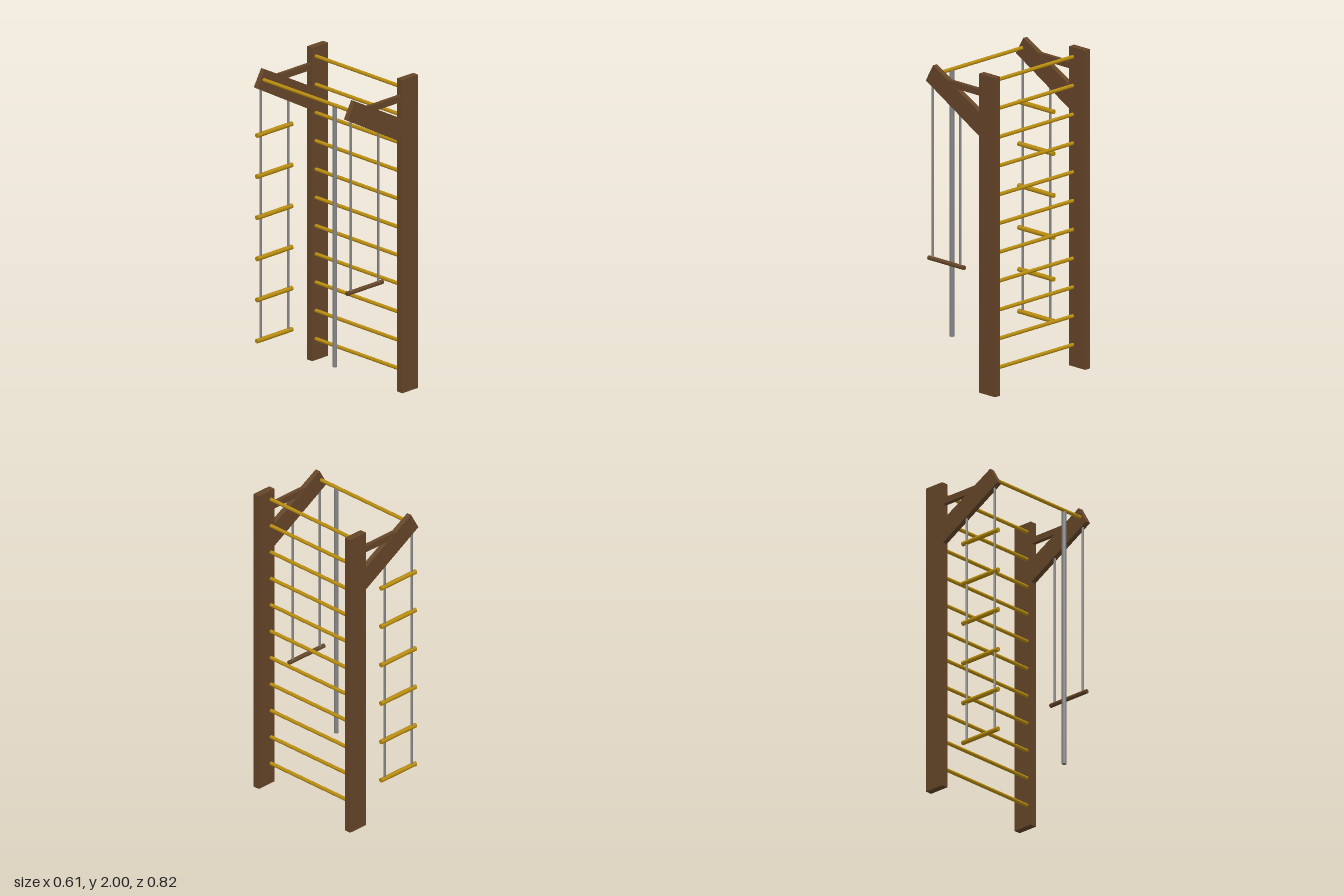
import * as THREE from 'three';

export function createModel() {
  const model = new THREE.Group();
  model.name = 'climbingFrame';
  const frame = new THREE.Group();
  frame.name = 'frame';
  frame.rotation.y = -0.026; // the whole frame stands slightly turned
  model.add(frame);

  const mat = (name, color) => {
    const m = new THREE.MeshStandardMaterial({ color });
    m.name = name;
    return m;
  };
  const wood = mat('brownWood', 0x654528);
  const gold = mat('goldenBars', 0xb88c0e);
  const grey = mat('greyRope', 0x858585);

  const add = (name, geometry, material, x, y, z) => {
    const mesh = new THREE.Mesh(geometry, material);
    mesh.name = name;
    mesh.position.set(x, y, z);
    frame.add(mesh);
    return mesh;
  };
  // Round bar along x, y or z
  const bar = (name, axis, radius, length, material, x, y, z) => {
    const g = new THREE.CylinderGeometry(radius, radius, length, 16);
    if (axis === 'x') g.rotateZ(Math.PI / 2);
    if (axis === 'z') g.rotateX(Math.PI / 2);
    return add(name, g, material, x, y, z);
  };
  // Vertical rope or pole between two heights
  const hang = (name, radius, bottom, top, x, z) =>
    bar(name, 'y', radius, top - bottom, grey, x, (top + bottom) / 2, z);

  const frontZ = 0.381, backZ = -0.388, midZ = (frontZ + backZ) / 2;

  // Sloping beam outline, cut off flush with the post
  const beamShape = new THREE.Shape([
    [-0.294, 1.857], [0.158, 1.603], [0.158, 1.753], [-0.232, 1.965],
  ].map(([x, y]) => new THREE.Vector2(x, y)));
  const beamGeometry = new THREE.ExtrudeGeometry(beamShape, { depth: 0.033, bevelEnabled: false });
  beamGeometry.translate(0, 0, -0.0165);

  // Post, beam and brace on each side
  for (const [side, z] of [['front', frontZ], ['back', backZ]]) {
    add(side + 'Post', new THREE.BoxGeometry(0.134, 2, 0.044), wood, 0.225, 1, z);
    add(side + 'Beam', beamGeometry, wood, 0, 0, z);
    add(side + 'Brace', new THREE.BoxGeometry(0.26, 0.04, 0.027), wood, 0.029, 1.878, z);
  }

  // Wall bars between the posts
  for (let i = 0; i < 11; i++) {
    bar('wallBar', 'z', 0.0115, 0.74, gold, 0.189, 0.135 + i * 0.1805, midZ);
  }
  // Overhead bar between the beams
  bar('overheadBar', 'z', 0.0115, 0.75, gold, -0.243, 1.9, midZ);

  // Climbing pole hanging from the overhead bar
  hang('climbingPole', 0.014, 0.228, 1.895, -0.238, 0.231);

  // Trapeze under the front beam and rope ladder under the back beam
  const swingX = -0.135, ropes = [[-0.115, 1.84], [0.115, 1.72]];
  bar('trapezeBar', 'x', 0.0135, 0.3, wood, swingX, 0.745, frontZ);
  for (const [dx, top] of ropes) {
    hang('trapezeRope', 0.0075, 0.745, top, swingX + dx, frontZ);
    hang('ladderRope', 0.0075, 0.235, top, swingX - 0.003 + dx, backZ);
  }
  for (let i = 0; i < 6; i++) {
    bar('ladderRung', 'x', 0.0145, 0.296, gold, swingX - 0.003, 0.238 + i * 0.2625, backZ);
  }
  return model;
}
